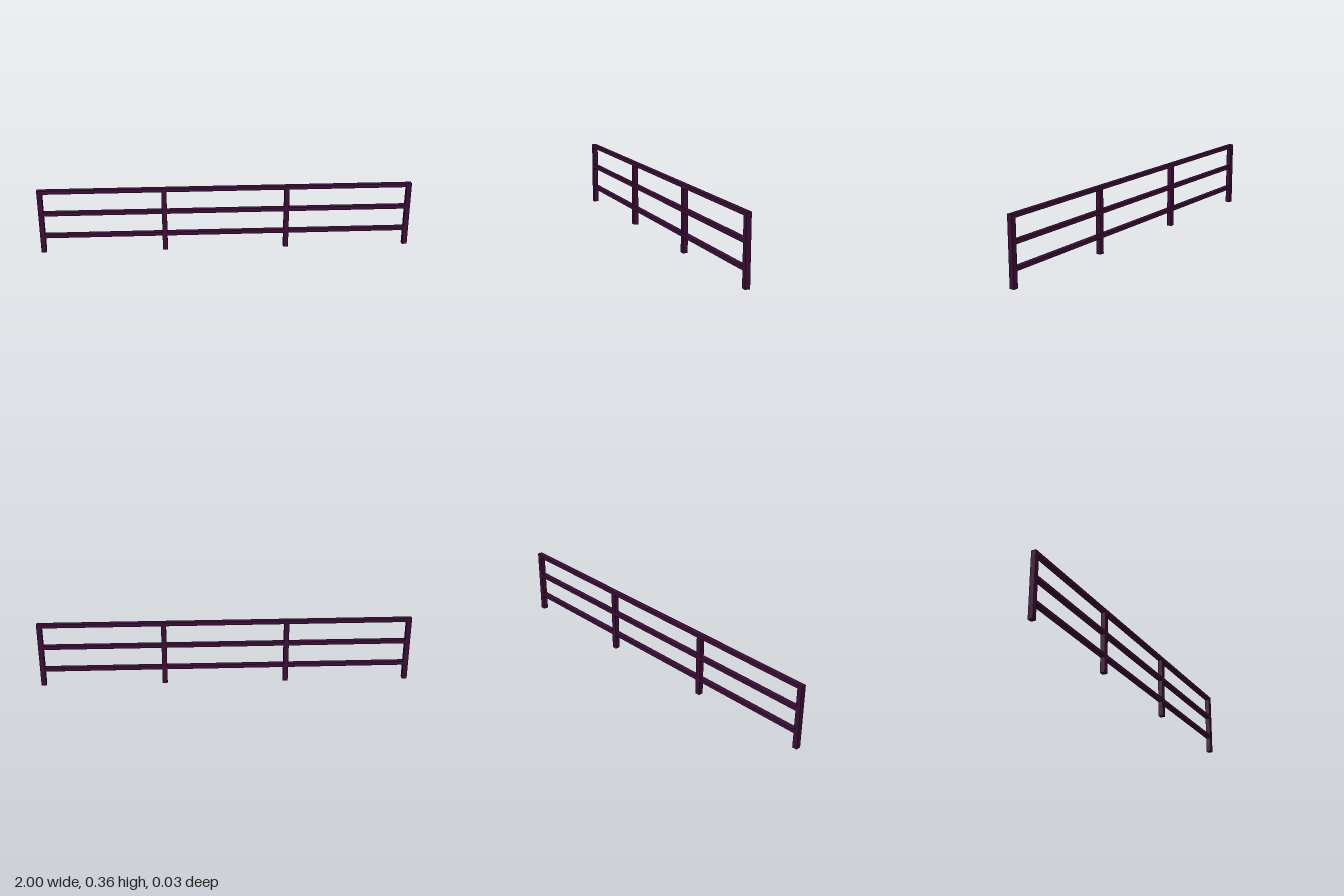
import * as THREE from 'three';

const HEIGHT = 0.362;
const POST = 0.027;
const RAIL = 0.02;

export function createModel() {
  const fence = new THREE.Group();
  fence.name = 'railFence';
  const paint = new THREE.MeshStandardMaterial({ color: 0x3b0d36 });
  paint.name = 'darkPlum';

  function addBar(name, size, x, y) {
    const bar = new THREE.Mesh(new THREE.BoxGeometry(...size), paint);
    bar.name = name;
    bar.position.set(x, y, 0);
    fence.add(bar);
  }

  // Four evenly spaced posts; the inner two stop under the top rail
  const end = 1 - POST / 2;
  for (let i = 0; i < 4; i++) {
    const inner = i === 1 || i === 2;
    const h = inner ? HEIGHT - RAIL : HEIGHT;
    addBar(inner ? 'innerPost' : 'endPost', [POST, h, POST], -end + (i * 2 * end) / 3, h / 2);
  }

  // Top rail between the end posts
  addBar('topRail', [2 - 2 * POST, RAIL, POST], 0, HEIGHT - RAIL / 2);

  // Lower rails, one length per bay
  const pitch = (2 * end) / 3;
  for (const [name, y] of [['middleRail', 0.225], ['bottomRail', 0.095]]) {
    for (let bay = -1; bay <= 1; bay++) {
      addBar(name, [pitch - POST, RAIL, POST], bay * pitch, y);
    }
  }
  return fence;
}
